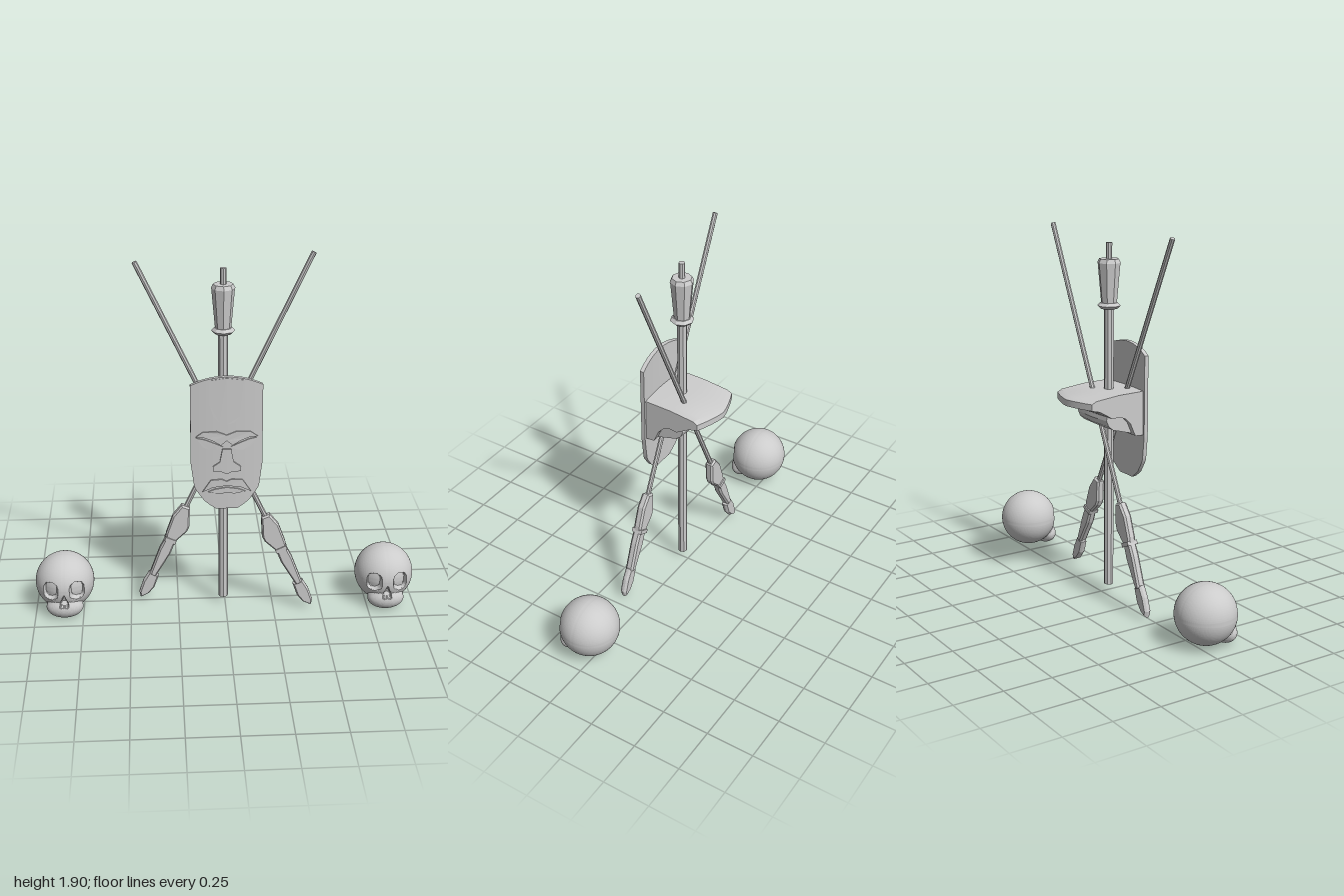
import * as THREE from 'three';
import { mergeVertices, toCreasedNormals } from 'three/addons/utils/BufferGeometryUtils.js';

const smooth = new THREE.MeshStandardMaterial({ color: 0xcccccc });
const flat = new THREE.MeshStandardMaterial({ color: 0xcccccc, flatShading: true });

function add(parent, name, geometry, material, x = 0, y = 0, z = 0) {
  const mesh = new THREE.Mesh(geometry, material);
  mesh.name = name;
  mesh.position.set(x, y, z);
  parent.add(mesh);
  return mesh;
}

// Moves every vertex of a geometry by a rule
function warp(geometry, rule) {
  const p = geometry.attributes.position, v = new THREE.Vector3();
  for (let i = 0; i < p.count; i++) {
    rule(v.fromBufferAttribute(p, i));
    p.setXYZ(i, v.x, v.y, v.z);
  }
  geometry.computeVertexNormals();
  return geometry;
}

const shapeOf = (points) => new THREE.Shape(points.map(([x, y]) => new THREE.Vector2(x, y)));

// Linear lookup in a list of [key, value] pairs with rising keys
function lookup(table, k) {
  for (let i = 1; i < table.length; i++) {
    const [k0, v0] = table[i - 1], [k1, v1] = table[i];
    if (k <= k1) return v0 + (v1 - v0) * Math.max(0, (k - k0) / (k1 - k0));
  }
  return table[table.length - 1][1];
}

// Central pole with a tapered octagonal head
function pole() {
  const g = new THREE.Group();
  g.name = 'pole';
  g.position.set(-0.01, 0, 0.04);
  const part = (name, rTop, rBottom, y0, y1) =>
    add(g, name, new THREE.CylinderGeometry(rTop, rBottom, y1 - y0, 8), flat, 0, (y0 + y1) / 2);
  part('poleShaft', 0.025, 0.025, 0.045, 1.53);
  part('poleCollarLower', 0.06, 0.045, 1.515, 1.53);
  part('poleCollarUpper', 0.045, 0.06, 1.53, 1.545);
  part('poleHead', 0.058, 0.04, 1.54, 1.745);
  part('poleHeadCap', 0.05, 0.06, 1.745, 1.765);
  part('poleTip', 0.016, 0.016, 1.76, 1.845);
  return g;
}

// Crossed spear; its origin is where the shaft meets the carved head
function spear(side, z) {
  const g = new THREE.Group();
  g.name = side > 0 ? 'leftSpear' : 'rightSpear';
  add(g, 'spearShaft', new THREE.CylinderGeometry(0.013, 0.013, 1.6, 8), flat, 0, 0.695);
  const blade = (name, points, depth, bevel) => {
    const geo = new THREE.ExtrudeGeometry(shapeOf(points), {
      depth, bevelThickness: bevel, bevelSize: 0.008, bevelOffset: -0.008, bevelSegments: 1,
    });
    add(g, name, geo.translate(0, 0, -depth / 2), flat);
  };
  blade('spearGuard', [[-0.026, 0], [0.02, 0.003], [0.062, -0.1], [0.062, -0.13],
    [0.03, -0.21], [-0.025, -0.215], [-0.034, -0.18], [-0.044, -0.075]], 0.025, 0.01);
  add(g, 'spearCollar', new THREE.BoxGeometry(0.06, 0.022, 0.058), flat, 0.003, -0.208);
  blade('spearGrip', [[-0.026, -0.2], [0.03, -0.2], [0.036, -0.28], [0.02, -0.44],
    [-0.014, -0.44], [-0.028, -0.28]], 0.025, 0.01);
  blade('spearPoint', [[-0.022, -0.425], [0.034, -0.425], [0.042, -0.5], [0.03, -0.55],
    [0, -0.587], [-0.02, -0.56], [-0.028, -0.49]], 0.012, 0.012);
  g.position.set(side * 0.2, 0.55, z);
  g.rotation.z = side * 0.44;
  if (side > 0) g.scale.x = -1;
  return g;
}

// Curved mask plate with raised features on a shared front surface
function mask() {
  const g = new THREE.Group();
  g.name = 'mask';
  const front = (x) => 0.178 - 0.4 * x * x;
  const halfWidth = [[0.625, 0.055], [0.645, 0.085], [0.67, 0.115], [0.74, 0.163],
    [0.87, 0.18], [1.335, 0.18]];
  const plate = warp(new THREE.BoxGeometry(2, 0.71, 0.022, 16, 32, 1), (v) => {
    const y = v.y + 0.98, u = v.x, depth = v.z - 0.011;
    v.x = u * lookup(halfWidth, y);
    v.y = y - 0.047 * u * u * Math.max(0, (y - 1.0) / 0.335);
    v.z = front(v.x) + depth;
  });
  add(g, 'maskPlate', toCreasedNormals(plate, 0.5), smooth);

  // Half outlines on the +x side, mirrored to the other side
  const features = [
    ['foreheadPanel', 0.003, [[0, 1.33], [0.085, 1.318], [0.085, 1.19], [0.065, 1.125],
      [0.035, 1.095], [0, 1.085]]],
    ['brow', 0.007, [[0, 1.0], [0.03, 0.975], [0.07, 1.0], [0.11, 1.015], [0.155, 1.018],
      [0.12, 1.045], [0.05, 1.05], [0, 1.03]]],
    ['eye', 0.005, [[0.02, 0.967], [0.05, 0.95], [0.085, 0.95], [0.12, 0.965],
      [0.152, 1.012], [0.11, 1.005], [0.06, 0.985]]],
    ['nose', 0.011, [[0, 0.955], [0.022, 0.955], [0.035, 0.885], [0.07, 0.86],
      [0.07, 0.835], [0.025, 0.832], [0, 0.82]]],
    ['upperLip', 0.008, [[0, 0.778], [0.025, 0.79], [0.08, 0.785], [0.122, 0.72],
      [0.07, 0.745], [0, 0.755]]],
    ['lowerLip', 0.007, [[0, 0.745], [0.06, 0.735], [0.095, 0.72], [0.04, 0.71], [0, 0.715]]],
  ];
  for (const [name, height, points] of features) {
    for (const side of [1, -1]) {
      const outline = points.map(([x, y]) => [side * x, y]);
      const geo = new THREE.ExtrudeGeometry(shapeOf(outline), { depth: height + 0.006, bevelEnabled: false });
      add(g, name, warp(geo, (v) => { v.z += front(v.x) - 0.006; }), flat);
    }
  }
  return g;
}

// Block behind the mask: overhanging top over a narrower core
function mount() {
  const g = new THREE.Group();
  g.name = 'mount';
  const block = (name, profile, width) => {
    const geo = new THREE.ExtrudeGeometry(shapeOf(profile), { depth: width, steps: 8, bevelEnabled: false });
    geo.translate(0, 0, -width / 2).rotateY(-Math.PI / 2);
    // The rear edge bows outward at the middle
    warp(geo, (v) => {
      const u = Math.abs(v.x) / 0.165;
      v.z += 0.05 * Math.pow(u, 1.4) * THREE.MathUtils.clamp(-v.z / 0.2, 0, 1);
    });
    add(g, name, toCreasedNormals(geo, 0.4), smooth);
  };
  block('mountTop', [[0.158, 1.105], [0, 1.102], [-0.18, 1.088], [-0.21, 1.075], [-0.21, 1.042],
    [-0.15, 1.03], [-0.05, 0.985], [0, 0.99], [0.04, 0.975], [0.07, 0.945], [0.085, 0.91],
    [0.1, 0.878], [0.158, 0.875]], 0.33);
  block('mountCore', [[0.158, 1.02], [-0.06, 1.02], [-0.068, 0.97], [-0.052, 0.94], [-0.02, 0.918],
    [0.1, 0.885], [0.158, 0.88]], 0.27);
  return g;
}

// Skull: a ball joined with a jaw ellipsoid, with sunken eyes and nose
function skullGeometry() {
  const jaw = new THREE.Vector3(0, -0.104, 0.098), size = new THREE.Vector3(0.096, 0.06, 0.06);
  let geo = new THREE.IcosahedronGeometry(1, 32);
  geo.deleteAttribute('normal');
  geo.deleteAttribute('uv');
  geo = mergeVertices(geo, 1e-4);
  warp(geo, (v) => {
    v.normalize();
    // Far crossing of the ray with the jaw
    const d = v.clone().divide(size), c = jaw.clone().divide(size);
    const a = d.dot(d), b = d.dot(c), disc = b * b - a * (c.dot(c) - 1);
    const exit = disc > 0 && b > 0 ? (b + Math.sqrt(disc)) / a : 0;
    v.multiplyScalar(Math.max(0.153, exit));
    if (v.z <= 0) return;
    const ex = (Math.abs(v.x) - 0.068) / 0.038, ey = (v.y - 0.003 + 0.1 * (Math.abs(v.x) - 0.068)) / 0.05;
    const eye = 1 - Math.pow(Math.pow(Math.abs(ex), 2.6) + Math.pow(Math.abs(ey), 2.6), 1 / 2.6);
    const nose = Math.min((-0.012 - v.y - 2.6 * Math.abs(v.x)) / 0.07, (v.y + 0.085) / 0.03);
    const sink = 0.032 * THREE.MathUtils.smoothstep(eye, 0, 0.2)
      + 0.022 * THREE.MathUtils.smoothstep(nose, 0, 0.15);
    v.z -= sink;
    v.x *= 1 - sink * 1.2;
  });
  return toCreasedNormals(geo, 0.6);
}

export function createModel() {
  const model = new THREE.Group();
  model.name = 'maskAndSpears';
  model.add(pole(), spear(-1, -0.015), spear(1, 0.118), mask(), mount());
  const skull = skullGeometry();
  add(model, 'leftSkull', skull, smooth, 0.845, 0.168, 0.046);
  add(model, 'rightSkull', skull, smooth, -0.845, 0.168, 0.046);
  return model;
}
